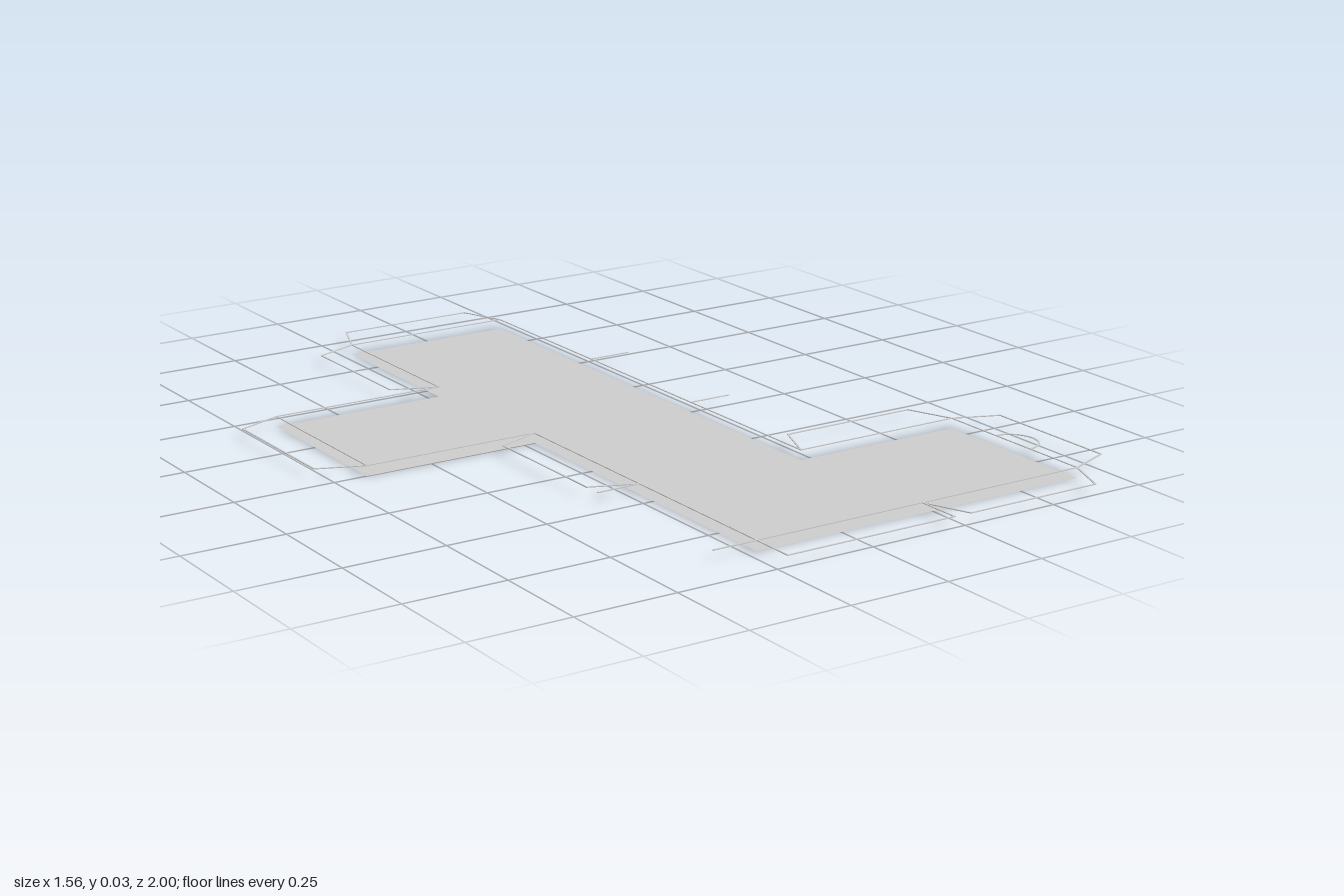
import * as THREE from 'three';

const LINE_Y = 0.025;
const S = 0.222; // half the side of one square of the net

// Thin flat bars joining consecutive [x, z] points
function line(name, points, width = 0.004) {
  const group = new THREE.Group();
  group.name = name;
  const material = new THREE.MeshStandardMaterial({ color: 0xcccccc });
  for (let i = 0; i < points.length - 1; i++) {
    const [ax, az] = points[i];
    const [bx, bz] = points[i + 1];
    const length = Math.hypot(bx - ax, bz - az);
    const bar = new THREE.Mesh(new THREE.BoxGeometry(length + width * 0.5, 0.002, width), material);
    bar.name = name + 'Segment';
    bar.position.set((ax + bx) / 2, LINE_Y, (az + bz) / 2);
    bar.rotation.y = -Math.atan2(bz - az, bx - ax);
    group.add(bar);
  }
  return group;
}

// Tapered glue flap standing outward from the edge a-b
function flap(name, a, b, nx, nz) {
  const depth = 0.111, inset = 0.1;
  const mix = (t) => [a[0] + (b[0] - a[0]) * t + nx * depth, a[1] + (b[1] - a[1]) * t + nz * depth];
  return line(name, [a, mix(inset), mix(1 - inset), b]);
}

export function createModel() {
  const model = new THREE.Group();
  model.name = 'boxNet';

  // Paper panel: six squares unfolded flat
  const outline = [
    [-S, -4 * S], [S, -4 * S], [S, 2 * S], [3 * S, 2 * S], [3 * S, 4 * S],
    [-S, 4 * S], [-S, 0], [-3 * S, 0], [-3 * S, -2 * S], [-S, -2 * S],
  ];
  const shape = new THREE.Shape(outline.map(([x, z]) => new THREE.Vector2(x, -z)));
  const panelGeometry = new THREE.ShapeGeometry(shape);
  panelGeometry.rotateX(-Math.PI / 2);
  const panel = new THREE.Mesh(
    panelGeometry,
    new THREE.MeshStandardMaterial({ color: 0xcccccc, side: THREE.DoubleSide })
  );
  panel.name = 'panel';
  model.add(panel);

  // Fold line around the panel
  model.add(line('foldLine', [...outline, outline[0]], 0.003));

  // Tapered glue flaps
  model.add(
    flap('backFlap', [-S, -4 * S], [S, -4 * S], 0, -1),
    flap('upperSideFlap', [-S, -4 * S], [-S, -2 * S], -1, 0),
    flap('armFlap', [-3 * S, -2 * S], [-3 * S, 0], -1, 0),
    flap('lowerSideFlap', [-S, 0], [-S, 2 * S], -1, 0),
    flap('footBackFlap', [S, 2 * S], [3 * S, 2 * S], 0, -1),
    flap('footEndFlap', [3 * S, 2 * S], [3 * S, 4 * S], 1, 0),
    flap('footFrontFlap', [S, 4 * S], [3 * S, 4 * S], 0, 1)
  );

  // Straight front flap
  model.add(line('frontFlap', [[-S, 4 * S], [-S, 0.998], [S, 0.998], [S, 4 * S]]));

  // Short cut marks beside the column
  for (const [x, z, dir] of [[S, -2 * S, 1], [S, 0, 1], [-S, 2 * S, -1], [-S, 4 * S, -1]]) {
    model.add(line('cutMark', [[x, z], [x + dir * 0.111, z]]));
  }

  // Half-round thumb notch on the foot end
  const notch = [];
  for (let i = 0; i <= 16; i++) {
    const t = -Math.PI / 2 + (Math.PI * i) / 16;
    notch.push([3 * S + 0.06 * Math.cos(t), 3 * S + 0.06 * Math.sin(t)]);
  }
  model.add(line('thumbNotch', notch));

  return model;
}
